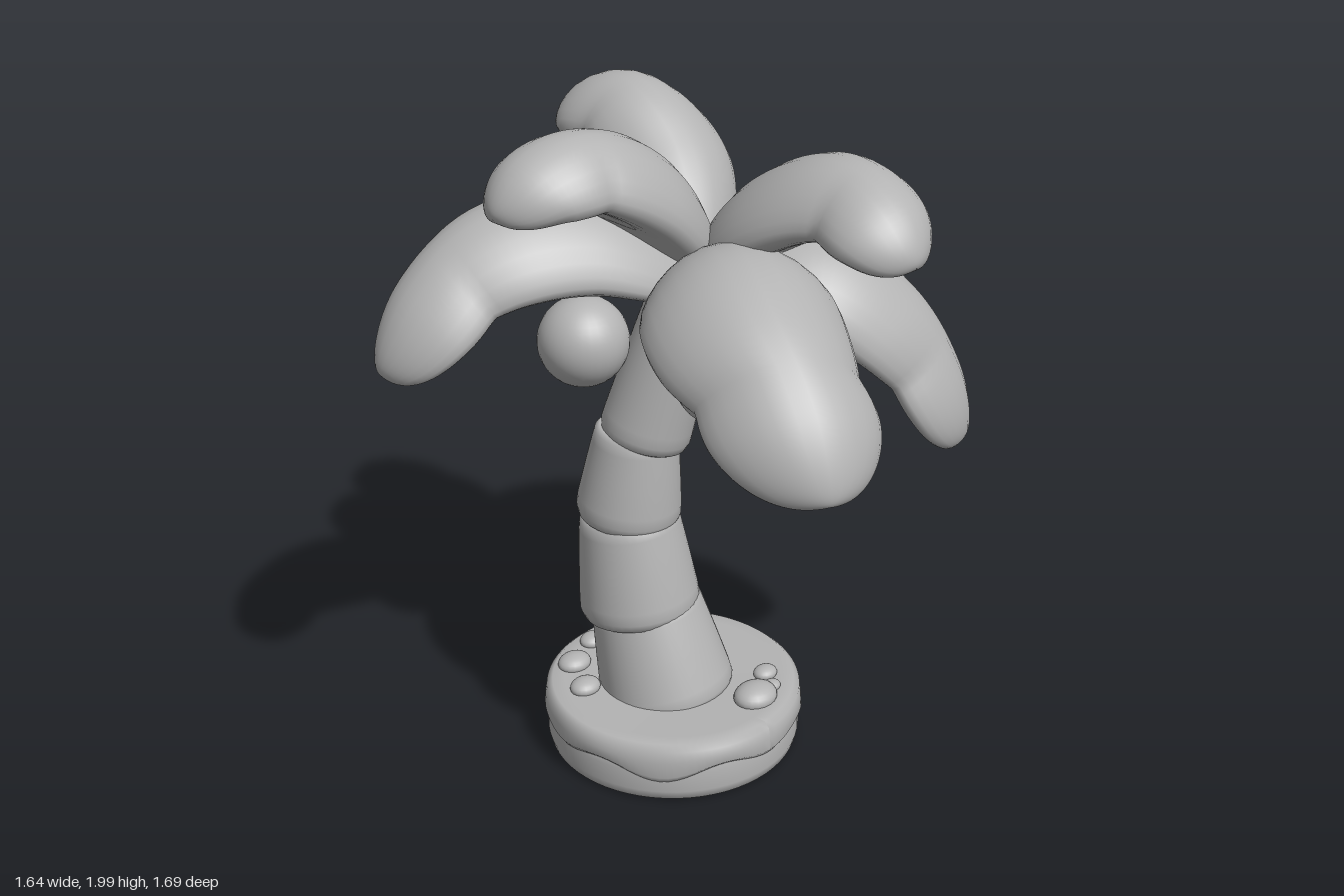
import * as THREE from 'three';

const V = (p) => new THREE.Vector3(...p);
const grey = new THREE.MeshStandardMaterial({ color: 0xb3b3b3 });
grey.name = 'plain grey';

function add(parent, name, geometry) {
  const mesh = new THREE.Mesh(geometry, grey);
  mesh.name = name;
  parent.add(mesh);
  return mesh;
}

// half ellipse bump, zero outside its span
const bump = (t, mid, half) => Math.sqrt(Math.max(0, 1 - ((t - mid) / half) ** 2));

// puffy frond: a large lobe and a smaller tip lobe along a curve, with drooping edges
function frondGeometry(points, halfWidth, droop) {
  const curve = new THREE.CatmullRomCurve3(points.map(V));
  const rows = 60, cols = 28, pos = [], index = [];
  const dir = V(points[4]).sub(V(points[0])).setY(0).normalize();
  const side = new THREE.Vector3(0, 1, 0).cross(dir);
  for (let i = 0; i <= rows; i++) {
    const t = (1 - Math.cos(Math.PI * i / rows)) / 2;
    const c = curve.getPointAt(t);
    const normal = curve.getTangentAt(t).cross(side).normalize();
    const main = bump(t, 0.425, 0.44), tip = bump(t, 0.76, 0.24);
    const w = halfWidth * Math.max(main, 0.85 * tip, 0.01);
    const top = 0.107 * Math.max(bump(t, 0.5, 0.5), 0.01);
    const under = 0.108 * Math.max(main, 0.85 * tip, 0.01);
    for (let j = 0; j < cols; j++) {
      const a = j / cols * Math.PI * 2, s = Math.sin(a), u = Math.cos(a);
      const h = s * (s > 0 ? top : under) - droop * u * u * w / halfWidth;
      const p = c.clone().addScaledVector(side, u * w).addScaledVector(normal, h);
      pos.push(p.x, p.y, p.z);
      if (i < rows) {
        const A = i * cols + j, B = i * cols + (j + 1) % cols;
        index.push(A, B, A + cols, B, B + cols, A + cols);
      }
    }
  }
  const g = new THREE.BufferGeometry();
  g.setAttribute('position', new THREE.Float32BufferAttribute(pos, 3));
  g.setIndex(index);
  g.computeVertexNormals();
  return g;
}

// rounded, tapered trunk section between two centres
function trunkSection(parent, from, to, r0, r1) {
  const a = V(from), axis = V(to).sub(a), h = axis.length();
  const profile = [[0, 0], [r0 * 0.85, 0], [r0 * 0.95, 0.01], [r0, 0.035], [r0 * 0.99, 0.07],
    [(r0 + r1) / 2, h * 0.55], [r1 * 1.01, h - 0.045], [r1 * 0.97, h - 0.015], [r1 * 0.86, h], [0, h]];
  const g = new THREE.LatheGeometry(profile.map(([x, y]) => new THREE.Vector2(x, y)), 40);
  const m = add(parent, 'trunkSection', g);
  m.position.copy(a);
  m.quaternion.setFromUnitVectors(new THREE.Vector3(0, 1, 0), axis.normalize());
}

export function createModel() {
  const model = new THREE.Group();
  model.name = 'palmTree';

  // round foot
  const foot = new THREE.LatheGeometry([[0, 0.005], [0.365, 0.005], [0.38, 0.012], [0.387, 0.04],
    [0.385, 0.1], [0.374, 0.16], [0, 0.16]].map(([x, y]) => new THREE.Vector2(x, y)), 64);
  add(model, 'foot', foot).position.set(-0.045, 0, -0.015);

  // sand layer with a wavy lower rim
  const sand = new THREE.LatheGeometry([[0.36, 0.1], [0.385, 0.1], [0.396, 0.115], [0.393, 0.15],
    [0.388, 0.18], [0.37, 0.196], [0.33, 0.194], [0, 0.19]].map(([x, y]) => new THREE.Vector2(x, y)), 96);
  const p = sand.attributes.position;
  for (let i = 0; i < p.count; i++) {
    const angle = Math.atan2(p.getZ(i), p.getX(i));
    const wave = 0.016 * Math.sin(angle * 7) + 0.01 * Math.sin(angle * 4 + 1);
    if (p.getY(i) < 0.17) p.setY(i, p.getY(i) + wave * (0.17 - p.getY(i)) / 0.07);
  }
  sand.computeVertexNormals();
  add(model, 'sandLayer', sand).position.set(-0.045, 0, -0.015);

  // pebbles: x, z, radius
  for (const [x, z, r] of [[0.035, 0.25, 0.072], [0.15, 0.19, 0.04], [0.11, 0.25, 0.03],
    [-0.28, -0.16, 0.05], [-0.21, -0.28, 0.055], [-0.08, -0.33, 0.045]]) {
    const pebble = add(model, 'pebble', new THREE.SphereGeometry(r, 20, 14));
    pebble.position.set(x, 0.2, z);
    pebble.scale.set(1, 0.55, 0.85);
  }

  // curved trunk
  const trunk = new THREE.Group();
  trunk.name = 'trunk';
  model.add(trunk);
  trunkSection(trunk, [-0.05, 0.12, -0.025], [-0.07, 0.45, -0.11], 0.206, 0.17);
  trunkSection(trunk, [-0.08, 0.41, -0.115], [-0.095, 0.745, -0.15], 0.182, 0.152);
  trunkSection(trunk, [-0.093, 0.72, -0.153], [-0.08, 1.02, -0.122], 0.156, 0.127);
  trunkSection(trunk, [-0.068, 0.985, -0.11], [0.03, 1.58, 0.03], 0.135, 0.1);

  // coconuts
  for (const [x, y, z, r] of [[0.135, 1.215, 0.14, 0.126], [-0.07, 1.26, 0.19, 0.128],
    [0.19, 1.275, -0.06, 0.125], [-0.25, 1.33, -0.16, 0.13]]) {
    add(model, 'coconut', new THREE.SphereGeometry(r, 32, 24)).position.set(x, y, z);
  }

  // crown: name, half width, edge droop, centre curve from heart to tip
  const fronds = [
    ['backFrond', 0.215, 0.08, [[0, 1.5, -0.01], [0, 1.61, -0.3], [0, 1.55, -0.53], [0.01, 1.41, -0.72], [0.02, 1.27, -0.84]]],
    ['upperBackFrond', 0.2, 0.06, [[0.04, 1.52, 0.02], [0.17, 1.74, -0.2], [0.19, 1.855, -0.38], [0.195, 1.85, -0.52], [0.2, 1.78, -0.63]]],
    ['backRightFrond', 0.23, 0.09, [[0.02, 1.5, 0.02], [-0.25, 1.65, -0.18], [-0.47, 1.64, -0.275], [-0.66, 1.52, -0.325], [-0.81, 1.35, -0.35]]],
    ['upperRightFrond', 0.188, 0.06, [[0.05, 1.54, 0.01], [-0.2, 1.8, 0], [-0.4, 1.895, 0], [-0.55, 1.89, -0.02], [-0.67, 1.82, -0.03]]],
    ['frontRightFrond', 0.275, 0.1, [[0.04, 1.5, 0.02], [-0.14, 1.59, 0.31], [-0.25, 1.52, 0.5], [-0.32, 1.38, 0.69], [-0.37, 1.21, 0.82]]],
    ['upperFrontFrond', 0.205, 0.06, [[0.06, 1.53, 0.03], [0.09, 1.73, 0.26], [0.095, 1.81, 0.45], [0.065, 1.79, 0.62], [0.03, 1.7, 0.75]]],
    ['frontLeftFrond', 0.245, 0.09, [[0.05, 1.5, 0.03], [0.27, 1.51, 0.24], [0.41, 1.38, 0.37], [0.51, 1.18, 0.48], [0.57, 0.98, 0.56]]],
    ['backLeftFrond', 0.255, 0.09, [[0.04, 1.5, 0.02], [0.32, 1.52, -0.11], [0.5, 1.42, -0.22], [0.67, 1.24, -0.32], [0.78, 1.03, -0.39]]],
  ];
  for (const [name, halfWidth, droop, points] of fronds) add(model, name, frondGeometry(points, halfWidth, droop));

  // small heart where the fronds meet
  const heart = add(model, 'crownHeart', new THREE.SphereGeometry(0.1, 24, 16));
  heart.position.set(0.04, 1.53, 0.02);

  return model;
}
